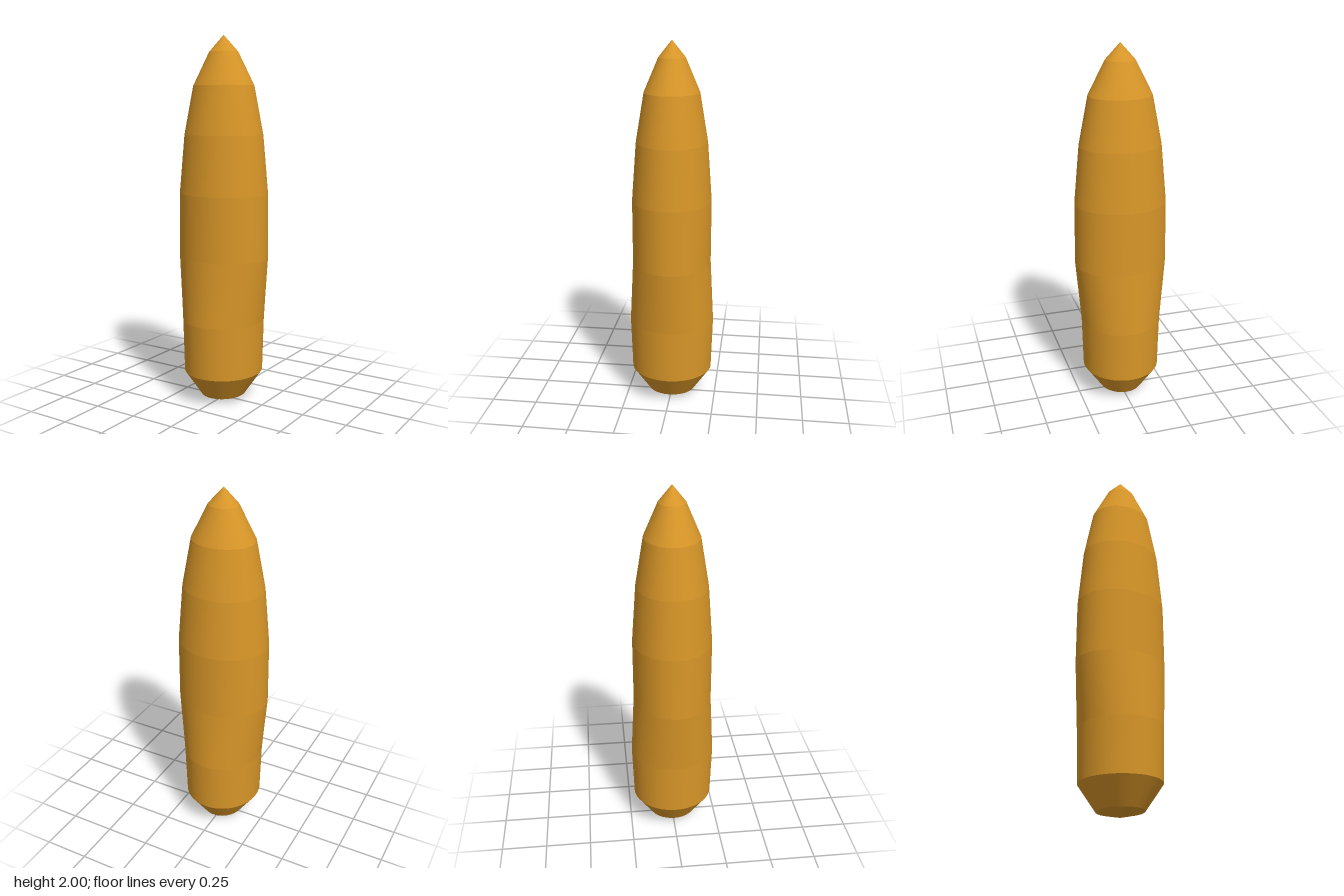
import * as THREE from 'three';

const SIDES = 96;

// Elliptical cross-sections from bottom to top: height, half width (x), half depth (z)
const SECTIONS = [
  [0, 0, 0],
  [0.03, 0.12, 0.132],
  [0.167, 0.214, 0.225],
  [0.458, 0.221, 0.234],
  [0.807, 0.253, 0.215],
  [1.157, 0.25, 0.215],
  [1.474, 0.221, 0.191],
  [1.735, 0.17, 0.147],
  [1.912, 0.08, 0.071],
  [2, 0, 0],
];

// One band between two sections: smooth around, with hard edges above and below
function bandGeometry(lower, upper) {
  const positions = [];
  const indices = [];
  for (const [y, rx, rz] of [lower, upper]) {
    for (let i = 0; i < SIDES; i++) {
      const a = (i / SIDES) * Math.PI * 2;
      positions.push(rx * Math.sin(a), y, rz * Math.cos(a));
    }
  }
  for (let i = 0; i < SIDES; i++) {
    const j = (i + 1) % SIDES;
    if (lower[1] > 0) indices.push(i, j, SIDES + j);
    if (upper[1] > 0) indices.push(i, SIDES + j, SIDES + i);
    // Pointed ends need just one triangle per side
    if (upper[1] === 0) indices.splice(-3, 3, i, j, SIDES + i);
  }
  const geometry = new THREE.BufferGeometry();
  geometry.setAttribute('position', new THREE.Float32BufferAttribute(positions, 3));
  geometry.setIndex(indices);
  geometry.computeVertexNormals();
  return geometry;
}

export function createModel() {
  const amber = new THREE.MeshStandardMaterial({ color: 0xd89628 });
  amber.name = 'amber';

  const names = ['base', 'baseTaper', 'lowerBody', 'waist', 'middleBody',
    'upperBody', 'shoulder', 'nose', 'tip'];
  const model = new THREE.Group();
  model.name = 'taperedBody';
  names.forEach((name, i) => {
    const band = new THREE.Mesh(bandGeometry(SECTIONS[i], SECTIONS[i + 1]), amber);
    band.name = name;
    model.add(band);
  });
  return model;
}
